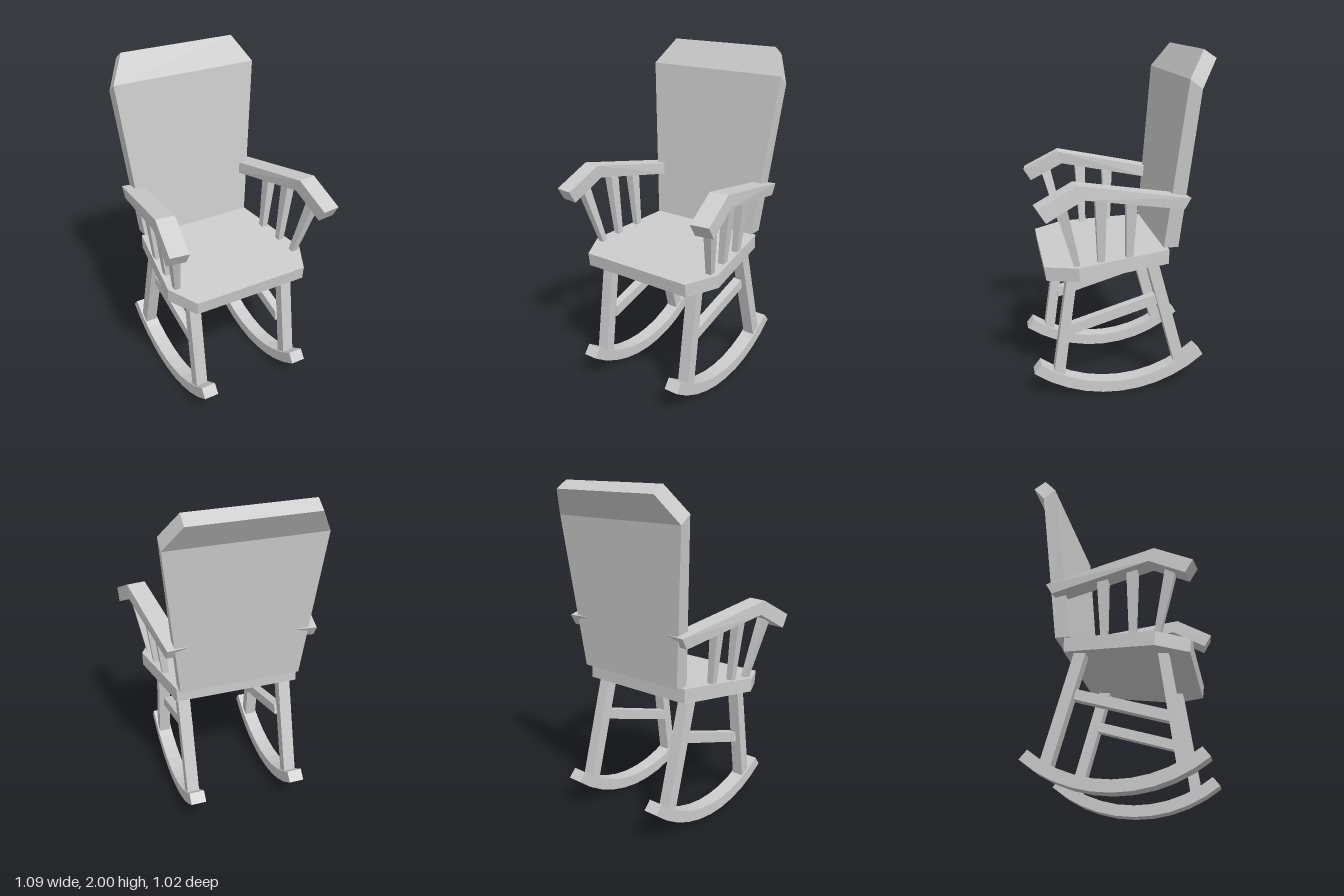
import * as THREE from 'three';

const material = new THREE.MeshStandardMaterial({ color: 0xcccccc, flatShading: true });

// Solid lofted through four-cornered cross-sections, capped at both ends.
// side = -1 mirrors it across x.
function loft(name, sections, side = 1) {
  const pts = sections.map(s => s.map(([x, y, z]) => new THREE.Vector3(x * side, y, z)));
  const tris = [];
  const quad = (a, b, c, d) => tris.push([a, b, c], [a, c, d]);
  for (let i = 0; i < pts.length - 1; i++) {
    for (let j = 0; j < 4; j++) {
      const k = (j + 1) % 4;
      quad(pts[i][j], pts[i][k], pts[i + 1][k], pts[i + 1][j]);
    }
  }
  const last = pts[pts.length - 1];
  quad(pts[0][3], pts[0][2], pts[0][1], pts[0][0]);
  quad(last[0], last[1], last[2], last[3]);
  // Turn every face outward whatever the order of the sections
  const volume = tris.reduce((v, [a, b, c]) => v + a.dot(b.clone().cross(c)), 0);
  if (volume < 0) tris.forEach(t => t.reverse());
  const geometry = new THREE.BufferGeometry().setFromPoints(tris.flat());
  geometry.computeVertexNormals();
  const mesh = new THREE.Mesh(geometry, material);
  mesh.name = name;
  return mesh;
}

// Cross-section spanning x0..x1 between two profile points [y, z]
const span = (x0, x1, [ya, za], [yb, zb]) =>
  [[x0, ya, za], [x1, ya, za], [x1, yb, zb], [x0, yb, zb]];

// Horizontal rectangle centred on x, from z0 to z1
const level = (x, w, y0, z0, y1, z1) => span(x - w / 2, x + w / 2, [y0, z0], [y1, z1]);

export function createModel() {
  const chair = new THREE.Group();
  chair.name = 'rockingChair';

  // Seat: tapers to the back, front corners cut off
  chair.add(loft('seat', [
    span(-0.37, 0.37, [0.886, -0.275], [0.80, -0.275]),
    span(-0.455, 0.455, [0.837, 0.258], [0.755, 0.25]),
    span(-0.36, 0.36, [0.82, 0.44], [0.74, 0.43]),
  ]));

  // Backrest: flares upward, then leans back with cut corners
  chair.add(loft('backrest', [
    span(-0.36, 0.36, [0.895, -0.245], [0.895, -0.33]),
    span(-0.455, 0.455, [1.852, -0.343], [1.80, -0.413]),
    span(-0.36, 0.36, [2.0, -0.44], [1.953, -0.512]),
  ]));

  for (const side of [1, -1]) {
    const half = new THREE.Group();
    half.name = side > 0 ? 'leftSide' : 'rightSide';
    chair.add(half);

    // Armrest: bends down at the front and splays outward
    const armSection = (x, yt, zt, yb, zb) => [
      [x, yt, zt], [x + 0.11, yt, zt - 0.014],
      [x + 0.11, yb, zb - 0.014], [x, yb, zb],
    ];
    half.add(loft('armrest', [
      armSection(0.327, 1.204, -0.362, 1.14, -0.325),
      armSection(0.407, 1.32, 0.282, 1.24, 0.25),
      armSection(0.433, 1.205, 0.498, 1.13, 0.452),
    ], side));

    // Spindles: bottom x, y, z range, then top x, y, z range
    const spindles = [
      [0.40, 0.82, 0.275, 0.24, 0.463, 1.21, 0.39, 0.325],
      [0.393, 0.83, 0.143, 0.105, 0.433, 1.235, 0.165, 0.10],
      [0.378, 0.845, -0.02, -0.058, 0.413, 1.21, -0.01, -0.075],
    ];
    for (const [xb, yb, b0, b1, xt, yt, t0, t1] of spindles) {
      half.add(loft('spindle', [
        level(xb, 0.036, yb, b0, yb, b1),
        level(xt, 0.055, yt, t0, yt, t1),
      ], side));
    }

    // Legs
    half.add(loft('frontLeg', [
      level(0.316, 0.072, 0.10, 0.405, 0.08, 0.343),
      level(0.316, 0.072, 0.77, 0.309, 0.77, 0.252),
    ], side));
    half.add(loft('rearLeg', [
      level(0.316, 0.072, 0.12, -0.337, 0.14, -0.40),
      level(0.316, 0.072, 0.82, -0.144, 0.82, -0.213),
    ], side));

    // Side rail between the legs
    half.add(loft('sideRail', [
      span(0.265, 0.32, [0.435, 0.305], [0.37, 0.31]),
      span(0.265, 0.32, [0.592, -0.212], [0.535, -0.23]),
    ], side));

    // Rocker: arc in short straight pieces
    const R = 0.806, t = 0.068, steps = 10, arc = [];
    for (let i = 0; i <= steps; i++) {
      const a = THREE.MathUtils.degToRad(36.8 - 78 * i / steps);
      const at = r => [R - r * Math.cos(a), 0.03 + r * Math.sin(a)];
      arc.push(span(0.27, 0.36, at(R), at(R - t)));
    }
    half.add(loft('rocker', arc, side));
  }
  return chair;
}
